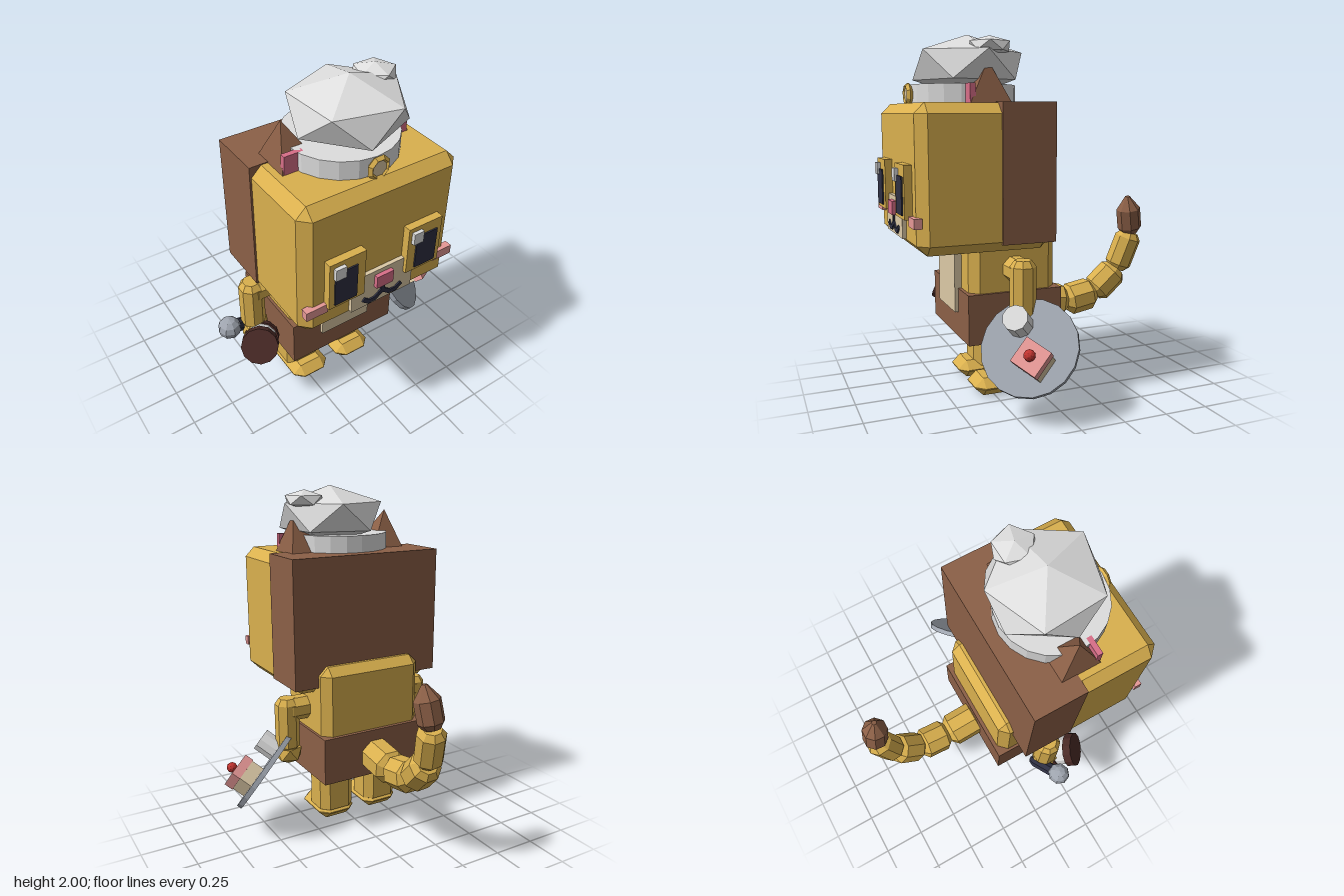
import * as THREE from 'three';
import { ConvexGeometry } from 'three/addons/geometries/ConvexGeometry.js';

const V = (x, y, z) => new THREE.Vector3(x, y, z);
const CX = -0.08; // mirror plane of the figure

function paint(name, color) {
  const m = new THREE.MeshStandardMaterial({ color, flatShading: true });
  m.name = name;
  return m;
}

export function createModel() {
  const root = new THREE.Group();
  root.name = 'catChef';
  const gold = paint('gold fur', 0xdab04e);
  const brown = paint('brown', 0x8c6047);
  const cream = paint('cream', 0xdcc9a6);
  const navy = paint('navy', 0x2e2f42);
  const rose = paint('rose', 0xd86e88);
  const pink = paint('light pink', 0xe69896);
  const white = paint('hat white', 0xdedede);
  const steel = paint('steel', 0x9fa5af);
  const cocoa = paint('dark brown', 0x4a2a26);
  const red = paint('cherry red', 0xc23430);

  function add(name, geo, mat, parent = root) {
    const m = new THREE.Mesh(geo, mat);
    m.name = name;
    parent.add(m);
    return m;
  }
  // plain box from its limits
  function box(name, mat, x0, x1, y0, y1, z0, z1) {
    const m = add(name, new THREE.BoxGeometry(x1 - x0, y1 - y0, z1 - z0), mat);
    m.position.set((x0 + x1) / 2, (y0 + y1) / 2, (z0 + z1) / 2);
    return m;
  }
  // box with cut edges and corners
  function bevelBox(name, mat, x0, x1, y0, y1, z0, z1, b, by = b) {
    const c = V((x0 + x1) / 2, (y0 + y1) / 2, (z0 + z1) / 2);
    const h = V((x1 - x0) / 2, (y1 - y0) / 2, (z1 - z0) / 2);
    const pts = [];
    for (const sx of [-1, 1]) for (const sy of [-1, 1]) for (const sz of [-1, 1]) {
      pts.push(V(sx * h.x, sy * (h.y - by), sz * (h.z - b)));
      pts.push(V(sx * (h.x - b), sy * h.y, sz * (h.z - b)));
      pts.push(V(sx * (h.x - b), sy * (h.y - by), sz * h.z));
    }
    add(name, new ConvexGeometry(pts), mat).position.copy(c);
  }
  // eight-sided limb piece between two points, with bevelled ends
  function limb(name, mat, a, b, r, endScale = 0.65, cut = 0.035) {
    const L = a.distanceTo(b), k = r / Math.cos(Math.PI / 8);
    const profile = [[0, 0], [k * 0.65, 0], [k, 0.035], [k, L - cut], [k * endScale, L], [0, L]];
    const geo = new THREE.LatheGeometry(profile.map(p => new THREE.Vector2(...p)), 8);
    geo.rotateY(Math.PI / 8);
    const m = add(name, geo, mat);
    m.position.copy(a);
    m.quaternion.setFromUnitVectors(V(0, 1, 0), b.clone().sub(a).normalize());
  }
  // squashed twenty-sided lump
  function lump(name, mat, c, rx, ry, turn) {
    const pts = [V(0, ry, 0), V(0, -ry, 0)];
    for (let i = 0; i < 5; i++) for (const s of [1, -1]) {
      const a = turn + i * Math.PI * 0.4 + (s < 0 ? Math.PI / 5 : 0);
      pts.push(V(rx * Math.cos(a), s * ry * 0.45, rx * Math.sin(a)));
    }
    add(name, new ConvexGeometry(pts), mat).position.copy(c);
  }

  // head and hood
  bevelBox('head', gold, -0.54, 0.38, 0.86, 1.63, -0.01, 0.72, 0.055);
  box('hood', brown, -0.55, 0.39, 0.9, 1.635, -0.02, 0.28);

  // face
  box('muzzle', cream, -0.27, 0.11, 0.92, 1.13, 0.7, 0.742);
  box('nose', rose, -0.133, -0.03, 1.03, 1.105, 0.73, 0.765);
  box('mouthStem', navy, CX - 0.013, CX + 0.013, 0.975, 1.03, 0.735, 0.75);
  for (const s of [-1, 1]) {
    const span = (name, mat, a, b, ...rest) =>
      box(name, mat, CX + Math.min(s * a, s * b), CX + Math.max(s * a, s * b), ...rest);
    span('eyePatch', gold, 0.13, 0.34, 1.04, 1.32, 0.7, 0.762);
    span('pupil', navy, 0.18, 0.31, 1.06, 1.26, 0.755, 0.77);
    span('cheek', pink, 0.333, 0.455, 1.008, 1.06, 0.7, 0.742);
    const line = [[0, 0.985], [0.045, 0.95], [0.085, 0.947], [0.115, 0.97]];
    for (let i = 0; i < 3; i++) {
      const [x0, y0] = line[i], [x1, y1] = line[i + 1];
      const bar = add('mouthCurve', new THREE.BoxGeometry(Math.hypot(x1 - x0, y1 - y0) + 0.012, 0.025, 0.015), navy);
      bar.position.set(CX + s * (x0 + x1) / 2, (y0 + y1) / 2, 0.7425);
      bar.rotation.z = s * Math.atan2(y1 - y0, x1 - x0);
    }

    // ears
    const ear = [V(s * 0.305, 1.85, 0.3)];
    for (const x of [0.15, 0.375]) for (const z of [0.18, 0.425]) ear.push(V(s * x, 1.61, z));
    add('ear', new ConvexGeometry(ear), brown).position.x = CX;
    span('innerEar', rose, 0.255, 0.36, 1.62, 1.73, 0.385, 0.415);

    // arms
    const ax = CX + s * 0.44;
    limb('shoulder', gold, V(CX + s * 0.27, 0.74, 0.16), V(CX + s * 0.47, 0.74, 0.16), 0.068);
    limb('arm', gold, V(ax + s * 0.005, 0.48, 0.16), V(ax + s * 0.005, 0.81, 0.16), 0.066);
    lump('hand', gold, V(ax, 0.47, 0.165), 0.08, 0.075, 0);

    // legs and feet
    const lx = CX + s * 0.155;
    bevelBox('leg', gold, lx - 0.11, lx + 0.11, 0.05, 0.42, 0.055, 0.265, 0.045, 0.02);
    bevelBox('foot', gold, lx - 0.118, lx + 0.118, 0, 0.1, 0.052, 0.36, 0.05, 0.047);
  }
  for (const x of [-0.395, 0.07]) box('eyeGlint', white, x, x + 0.06, 1.228, 1.295, 0.76, 0.782);

  // body and clothes
  bevelBox('body', gold, -0.405, 0.245, 0.5, 1.02, -0.09, 0.41, 0.05);
  box('shorts', brown, -0.42, 0.26, 0.338, 0.615, -0.112, 0.43);
  box('bib', cream, -0.24, 0.075, 0.48, 0.9, 0.39, 0.45);

  // tail
  const tail = [V(-0.085, 0.46, -0.07), V(-0.085, 0.43, -0.3), V(-0.085, 0.465, -0.5),
    V(-0.065, 0.61, -0.65), V(-0.03, 0.84, -0.725), V(0.0, 1.07, -0.685)];
  [0.097, 0.09, 0.085, 0.075].forEach((r, i) => limb('tailSegment', gold, tail[i], tail[i + 1], r));
  limb('tailTip', brown, tail[4], tail[5], 0.068, 0.2, 0.08);

  // hat
  add('hatBand', new THREE.CylinderGeometry(0.295, 0.295, 0.11, 20), white).position.set(CX, 1.675, 0.345);
  lump('hatPuff', white, V(-0.025, 1.83, 0.33), 0.3, 0.17, -0.07);
  const fold = lump('hatFold', white, V(0.17, 1.925, 0.27), 0.11, 0.055, 0.3);
  const ring = add('badgeRing', new THREE.TorusGeometry(0.05, 0.017, 4, 8), gold);
  ring.position.set(CX, 1.675, 0.652);
  ring.rotation.z = Math.PI / 8;
  const gem = add('badgeCentre', new THREE.CylinderGeometry(0.045, 0.045, 0.03, 8), cream);
  gem.position.set(CX, 1.675, 0.645);
  gem.rotation.x = Math.PI / 2;

  // tray with cup and cake, tilted outward
  const tray = new THREE.Group();
  tray.name = 'tray';
  const n = V(0.64, 0.57, 0.53).normalize();
  const u = n.clone().cross(V(-0.1, 0.74, -0.67)).normalize();
  tray.quaternion.setFromRotationMatrix(new THREE.Matrix4().makeBasis(u, n, u.clone().cross(n)));
  tray.position.set(0.505, 0.377, 0.18);
  root.add(tray);
  add('plate', new THREE.CylinderGeometry(0.262, 0.262, 0.03, 18), steel, tray);
  add('cup', new THREE.CylinderGeometry(0.07, 0.07, 0.12, 10), white, tray).position.set(0.11, 0.07, 0.07);
  const slab = (name, mat, y, h, w) =>
    add(name, new THREE.BoxGeometry(w, h, w - 0.01), mat, tray).position.set(-0.086, y, -0.05);
  slab('cake', cream, 0.055, 0.08, 0.145);
  slab('icing', pink, 0.12, 0.055, 0.155);
  add('cherry', new THREE.IcosahedronGeometry(0.031, 1), red, tray).position.set(-0.086, 0.17, -0.05);

  // little drum
  const drum = new THREE.Group();
  drum.name = 'drum';
  drum.position.set(-0.55, 0.455, 0.285);
  drum.quaternion.setFromUnitVectors(V(0, 1, 0), V(-0.5, 0.45, 0.74).normalize());
  root.add(drum);
  add('drumShell', new THREE.CylinderGeometry(0.092, 0.092, 0.13, 12), white, drum);
  add('drumFront', new THREE.CylinderGeometry(0.105, 0.105, 0.05, 12), cocoa, drum).position.y = 0.06;
  add('drumBack', new THREE.CylinderGeometry(0.1, 0.1, 0.045, 12), cocoa, drum).position.y = -0.055;

  // ball-headed stick
  limb('stickHandle', navy, V(-0.5, 0.42, 0.09), V(-0.67, 0.53, 0.16), 0.036);
  add('stickBall', new THREE.SphereGeometry(0.066, 8, 6), steel).position.set(-0.68, 0.538, 0.166);

  return root;
}
